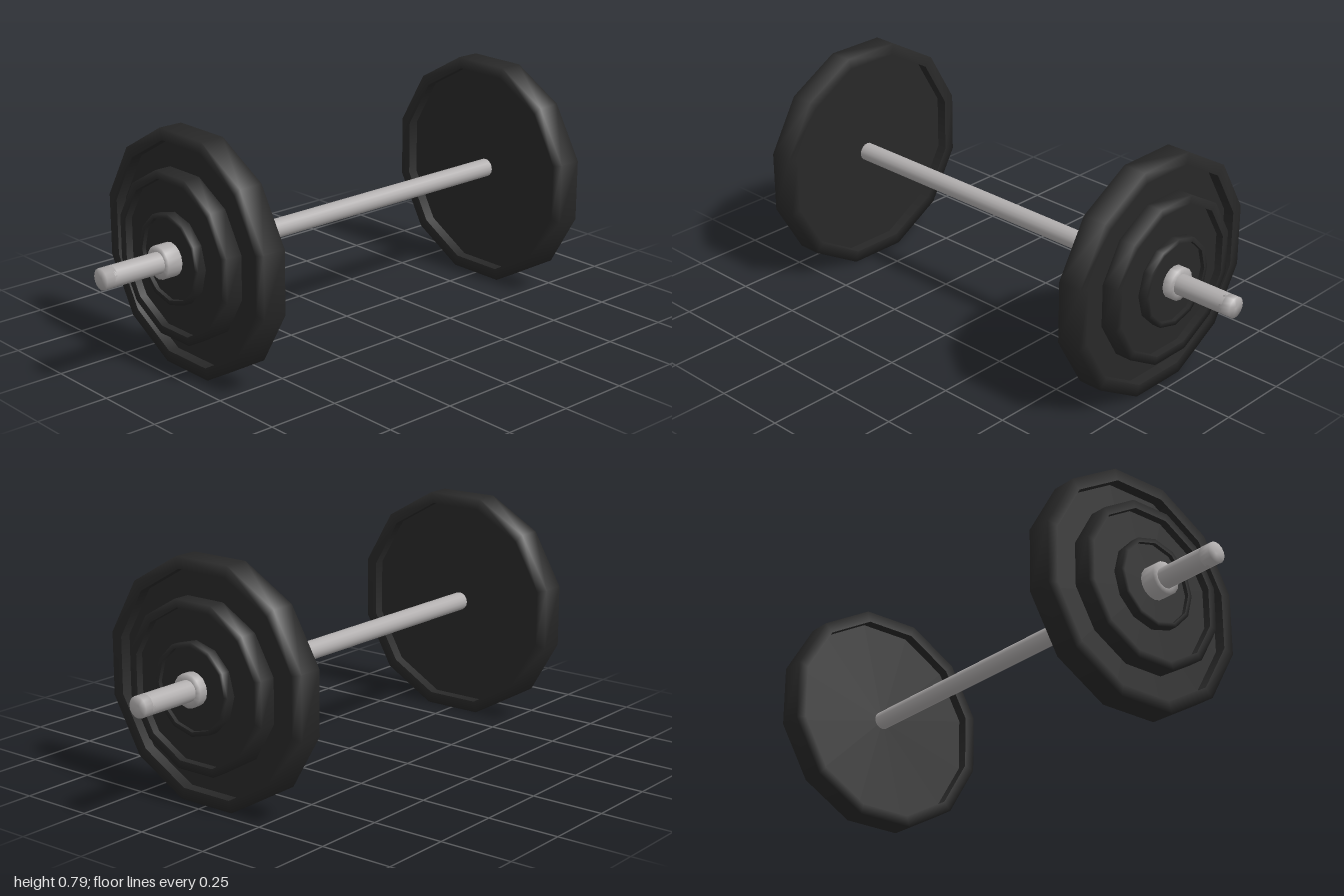
import * as THREE from 'three';

const AXIS_Y = 0.394;

export function createModel() {
  const model = new THREE.Group();
  model.name = 'barbell';

  const iron = new THREE.MeshStandardMaterial({ color: 0x282828 });
  iron.name = 'black iron';
  const steel = new THREE.MeshStandardMaterial({ color: 0xb2afaf });
  steel.name = 'grey steel';

  // Profile of [radius, z] points turned around the z axis
  function turned(name, material, points, sides, turn = 0) {
    const profile = points.map(([r, z]) => new THREE.Vector2(r, z));
    const geometry = new THREE.LatheGeometry(profile, sides, turn);
    geometry.rotateX(Math.PI / 2);
    const mesh = new THREE.Mesh(geometry, material);
    mesh.name = name;
    mesh.position.y = AXIS_Y;
    model.add(mesh);
  }

  // Closed rod whose normals roll softly over its ends
  function rod(name, r, z0, z1, faceR) {
    turned(name, steel, [[0, z0], [faceR, z0], [r, z0], [r, z1], [faceR, z1], [0, z1]], 16);
  }

  // Twelve-sided plate: a raised rim around a thin web recessed on both sides
  function plate(name, r, z0, z1, turn) {
    const inner = r * 0.902;
    const depth = (z1 - z0) * 0.45;
    const w0 = z0 + depth;
    const w1 = z1 - depth;
    const parts = {
      Rim: [[inner, z0], [r, z0], [r, z1], [inner, z1]],
      FrontWall: [[inner, z1], [inner, w1]],
      FrontWeb: [[inner, w1], [0, w1]],
      BackWeb: [[0, w0], [inner, w0]],
      BackWall: [[inner, w0], [inner, z0]],
    };
    for (const part in parts) turned(name + part, iron, parts[part], 12, turn);
  }

  // Bar between the plates
  rod('bar', 0.032, -0.72, 0.72, 0.02);

  // Each end: outer faces of the three plates, then the collar
  const ends = [
    { side: 1, label: 'front', faces: [0.686, 0.731, 0.747], collar: 0.785 },
    { side: -1, label: 'back', faces: [0.715, 0.758, 0.773], collar: 0.788 },
  ];
  const half = Math.PI / 12;
  const plates = [
    ['LargePlate', 0.407, 0.083, half],
    ['MediumPlate', 0.282, 0.0575, half],
    ['SmallPlate', 0.151, 0.031, 0],
  ];

  for (const { side, label, faces, collar } of ends) {
    const span = (a, b) => (side > 0 ? [a, b] : [-b, -a]);

    // Stack of plates, each one seated in the recess of the larger one
    plates.forEach(([name, r, thick, turn], i) => {
      plate(label + name, r, ...span(faces[i] - thick, faces[i]), turn);
    });

    // Locking collar and the bar end beyond it
    rod(label + 'Collar', 0.055, ...span(faces[2] - 0.025, collar), 0.03);
    rod(label + 'BarEndShaft', 0.035, ...span(0.7, 0.97), 0.03);
    rod(label + 'BarEndTip', 0.035, ...span(0.96, 1), 0.004);
  }

  return model;
}
